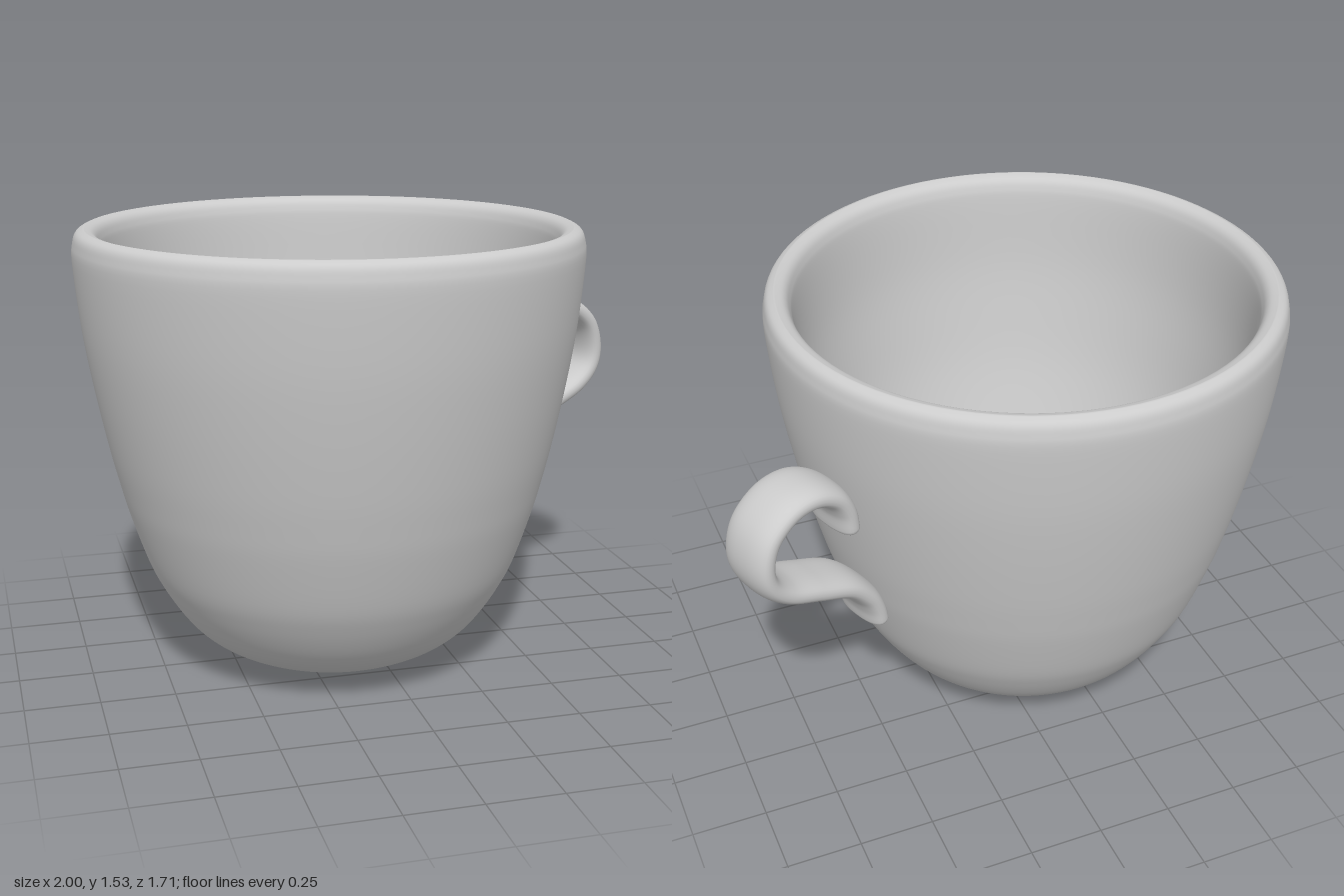
import * as THREE from 'three';

const v2 = (p) => new THREE.Vector2(p[0], p[1]);
const material = new THREE.MeshStandardMaterial({ color: 0xcccccc });
const smooth = (pts, n) => new THREE.SplineCurve(pts.map(v2)).getPoints(n);

// Cup wall: outer curve up, rounded rim, inner curve back down
function createCup() {
  const outer = smooth([[0.13, 0], [0.22, 0.017], [0.32, 0.044], [0.4, 0.08], [0.455, 0.115], [0.503, 0.158],
    [0.55, 0.217], [0.6, 0.297], [0.645, 0.39], [0.702, 0.56], [0.732, 0.67], [0.763, 0.8], [0.803, 1.0],
    [0.835, 1.2], [0.856, 1.42], [0.852, 1.485], [0.84, 1.516], [0.815, 1.53]], 80);
  const inner = smooth([[0.815, 1.53], [0.785, 1.518], [0.768, 1.49], [0.758, 1.43], [0.741, 1.2], [0.711, 1.0],
    [0.672, 0.8], [0.614, 0.59], [0.562, 0.43], [0.52, 0.335], [0.478, 0.265], [0.44, 0.22], [0.395, 0.182],
    [0.295, 0.132], [0.21, 0.107], [0.13, 0.09]], 80);
  const profile = [v2([0, 0]), ...outer, ...inner.slice(1), v2([0, 0.09])];
  const cup = new THREE.Mesh(new THREE.LatheGeometry(profile, 96), material);
  cup.name = 'cup';
  return cup;
}

// Softly crowned strap section (superellipse), counterclockwise
function section(halfThick, halfWide, steps = 32) {
  const bend = (v) => Math.sign(v) * Math.abs(v) ** (2 / 2.4);
  return Array.from({ length: steps }, (_, i) => {
    const a = i / steps * Math.PI * 2;
    return [halfThick * bend(Math.cos(a)), halfWide * bend(Math.sin(a))];
  });
}

// Strap swept along an S-shaped path, with rounded ends
function createHandle() {
  const path = new THREE.SplineCurve([[0.824, 0.985], [0.834, 1.05], [0.873, 1.113], [0.95, 1.152], [1.04, 1.142],
    [1.12, 1.08], [1.151, 0.99], [1.136, 0.91], [1.07, 0.845], [0.96, 0.795], [0.84, 0.74], [0.77, 0.67],
    [0.739, 0.61], [0.728, 0.56]].map(v2));
  const round = 0.024, capSteps = 5, segments = 80;
  const rings = [];
  for (let i = 0; i < capSteps; i++) {
    const a = (1 - i / capSteps) * Math.PI / 2;
    rings.push({ u: 0, shift: -round * Math.sin(a), inset: round * (1 - Math.cos(a)) });
  }
  for (let i = 0; i <= segments; i++) rings.push({ u: i / segments, shift: 0, inset: 0 });
  for (let i = capSteps - 1; i >= 0; i--) rings.push({ ...rings[i], u: 1, shift: -rings[i].shift });

  const positions = [], index = [], centres = [];
  let count = 0;
  for (const { u, shift, inset } of rings) {
    const t = path.getTangentAt(u);
    const c = path.getPointAt(u).addScaledVector(t, shift);
    const loop = section(0.042 - inset, 0.108 - inset);
    count = loop.length;
    for (const [n, b] of loop) positions.push(c.x - t.y * n, c.y + t.x * n, b);
    centres.push(c);
  }
  const last = (rings.length - 1) * count, start = positions.length / 3;
  for (const c of [centres[0], centres[centres.length - 1]]) positions.push(c.x, c.y, 0);
  for (let j = 0; j < count; j++) {
    const k = (j + 1) % count;
    for (let i = 0; i < rings.length - 1; i++) {
      const r = i * count, s = r + count;
      index.push(r + j, r + k, s + j, r + k, s + k, s + j);
    }
    index.push(start, k, j, start + 1, last + j, last + k);
  }
  const geometry = new THREE.BufferGeometry();
  geometry.setAttribute('position', new THREE.Float32BufferAttribute(positions, 3));
  geometry.setIndex(index);
  geometry.computeVertexNormals();
  const handle = new THREE.Mesh(geometry, material);
  handle.name = 'handle';
  handle.rotation.y = THREE.MathUtils.degToRad(20);
  return handle;
}

export function createModel() {
  const model = new THREE.Group();
  model.name = 'mug';
  const body = new THREE.Group();
  body.name = 'cupWithHandle';
  body.position.x = -0.145;
  body.add(createCup(), createHandle());
  model.add(body);
  return model;
}
